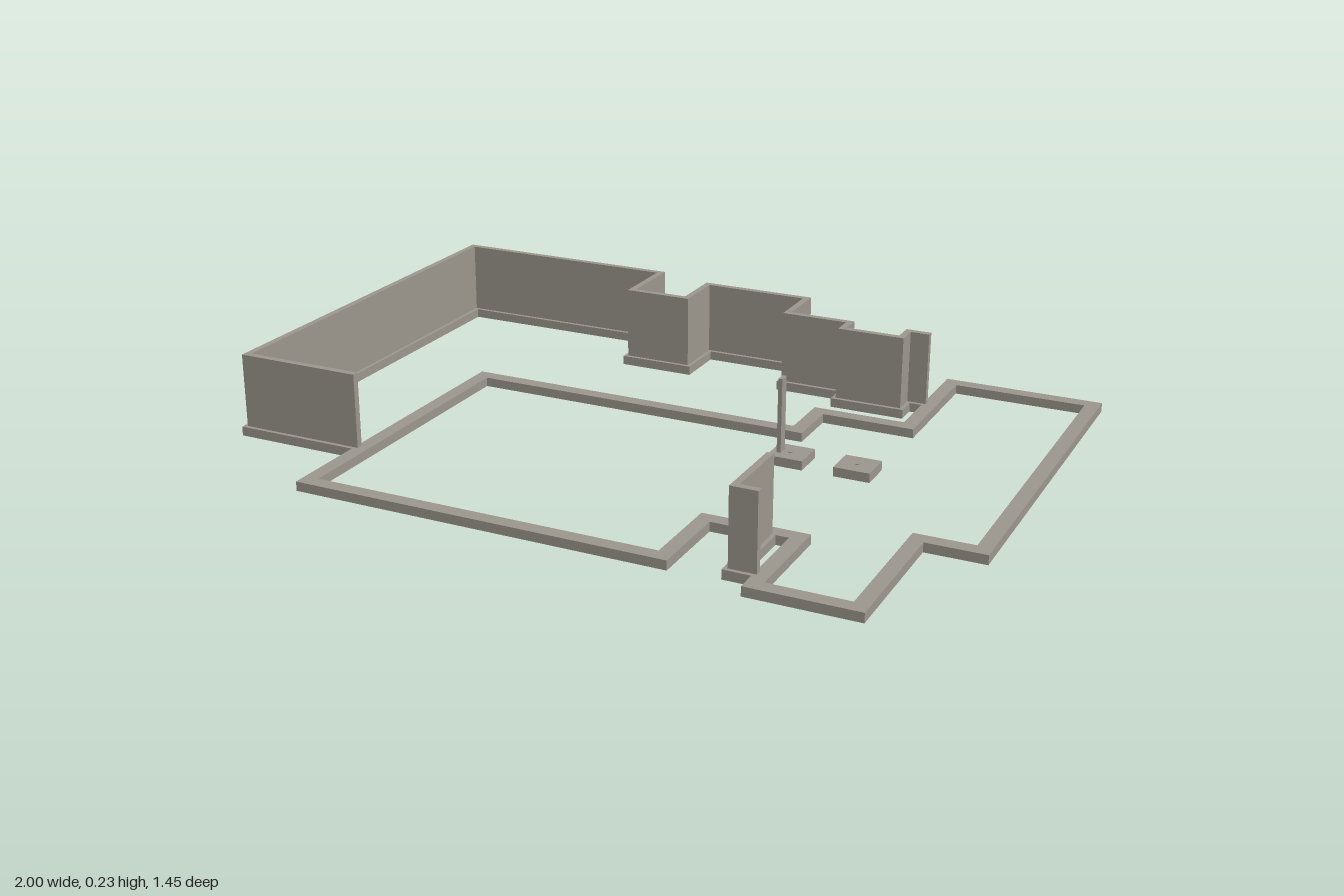
import * as THREE from 'three';

const BASE_H = 0.025, TOP = 0.225, BASE_W = 0.039, WALL_W = 0.018;

// Mitred outline of a right-angled path, shifted sideways by d
function offsetPath(points, d, closed) {
  const n = points.length;
  const normal = (i) => {
    const [ax, az] = points[(i + n) % n], [bx, bz] = points[(i + 1) % n];
    const l = Math.hypot(bx - ax, bz - az);
    return [-(bz - az) / l, (bx - ax) / l];
  };
  return points.map(([x, z], i) => {
    const a = normal(!closed && i === 0 ? 0 : i - 1);
    const b = normal(!closed && i === n - 1 ? n - 2 : i);
    const k = d / (1 + a[0] * b[0] + a[1] * b[1]);
    return new THREE.Vector2(x + (a[0] + b[0]) * k, -(z + (a[1] + b[1]) * k));
  });
}

// Upright strip of constant width following a path;
// closed paths run anticlockwise as seen from above
function strip(points, width, y0, y1, closed = false) {
  const outer = offsetPath(points, width / 2, closed);
  const inner = offsetPath(points, -width / 2, closed).reverse();
  const shape = new THREE.Shape(closed ? outer : [...outer, ...inner]);
  if (closed) shape.holes.push(new THREE.Path(inner));
  const geo = new THREE.ExtrudeGeometry(shape, { depth: y1 - y0, bevelEnabled: false });
  return geo.rotateX(-Math.PI / 2).translate(0, y0, 0);
}

export function createModel() {
  const model = new THREE.Group();
  model.name = 'foundationPlan';
  const concrete = new THREE.MeshStandardMaterial({ color: 0x9d978d });
  concrete.name = 'concrete';

  const add = (name, geo) => {
    const mesh = new THREE.Mesh(geo, concrete);
    mesh.name = name;
    model.add(mesh);
  };
  const box = (name, w, h, d, x, y, z) =>
    add(name, new THREE.BoxGeometry(w, h, d).translate(x, y + h / 2, z));

  // Closed footing around the main floor
  const mainLoop = [
    [-0.632, 0.663], [0.341, 0.663], [0.341, 0.432], [0.58, 0.432],
    [0.58, 0.707], [0.826, 0.707], [0.826, 0.32], [0.98, 0.32],
    [0.98, -0.707], [0.58, -0.707], [0.58, -0.334], [0.326, -0.334],
    [0.326, -0.181], [-0.632, -0.181],
  ];
  add('mainFooting', strip(mainLoop, BASE_W, 0, BASE_H, true));

  // Stepped rear wall and short front wall, each on its own footing
  const rearPath = [
    [-0.64, 0.426], [-0.98, 0.426], [-0.98, -0.707], [-0.33, -0.707],
    [-0.33, -0.516], [-0.156, -0.516], [-0.156, -0.664], [0.154, -0.664],
    [0.154, -0.516], [0.34, -0.516], [0.34, -0.456], [0.508, -0.456],
    [0.508, -0.516], [0.569, -0.516],
  ];
  const frontPath = [[0.508, 0.446], [0.508, 0.65], [0.569, 0.65]];
  for (const [name, path] of [['rear', rearPath], ['front', frontPath]]) {
    add(name + 'Footing', strip(path, BASE_W, 0, BASE_H));
    add(name + 'Wall', strip(path, WALL_W, BASE_H, TOP));
  }

  // Isolated pads with small seats, and the single post
  for (const x of [0.369, 0.55]) {
    box('columnPad', 0.097, BASE_H, 0.091, x, 0, -0.029);
    box('padSeat', 0.012, 0.002, 0.012, x, BASE_H, -0.029);
  }
  box('post', 0.011, TOP - BASE_H, 0.028, 0.342, BASE_H, -0.026);

  return model;
}
